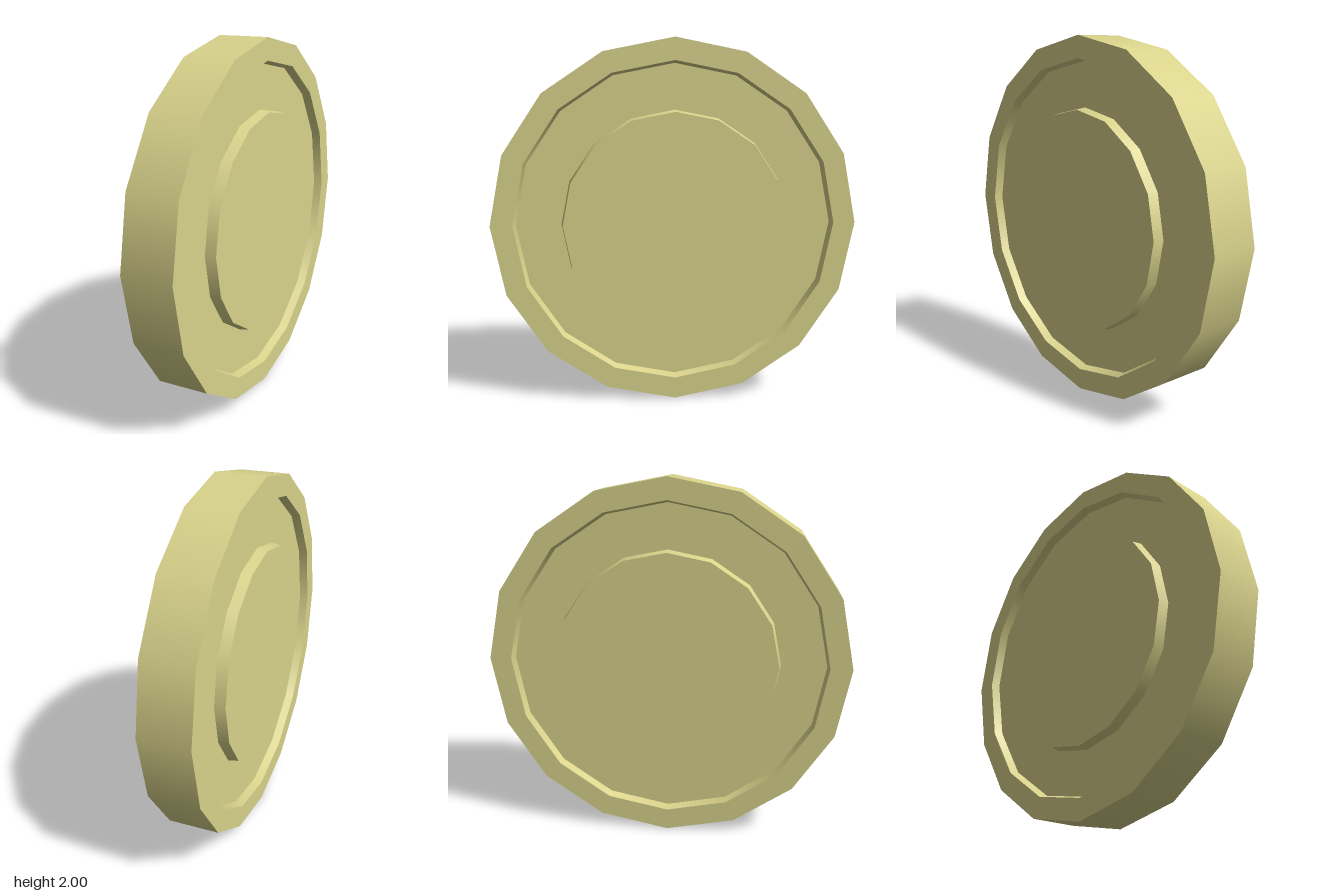
import * as THREE from 'three';

const SIDES = 16;
const material = new THREE.MeshStandardMaterial({ color: 0xd9d38b });

// Each profile span becomes its own lathe: smooth around, crisp between spans.
function turned(name, profile) {
  const part = new THREE.Group();
  part.name = name;
  for (let i = 0; i < profile.length - 1; i++) {
    const span = [profile[i], profile[i + 1]].map(([r, h]) => new THREE.Vector2(r, h));
    const mesh = new THREE.Mesh(new THREE.LatheGeometry(span, SIDES), material);
    mesh.name = `${name}Surface${i + 1}`;
    part.add(mesh);
  }
  return part;
}

export function createModel() {
  const wheel = new THREE.Group();
  wheel.name = 'wheel';

  // Outer tread, split at the middle
  wheel.add(turned('tread', [[1, -0.14], [1, 0], [1, 0.14]]));

  // Both faces: rim, recessed ring and raised hub
  for (const [side, turn] of [['left', 0], ['right', Math.PI]]) {
    const face = new THREE.Group();
    face.name = `${side}Face`;
    face.add(turned('rim', [[1, 0.14], [0.88, 0.14], [0.867, 0.093]]));
    face.add(turned('recess', [[0.867, 0.093], [0.62, 0.093]]));
    face.add(turned('hub', [[0.62, 0.093], [0.61, 0.15], [0, 0.15]]));
    face.rotation.x = turn;
    wheel.add(face);
  }

  // Lay the axle along x and stand the wheel on the ground
  wheel.rotation.z = -Math.PI / 2;
  wheel.position.y = 1;

  const model = new THREE.Group();
  model.name = 'wheelModel';
  model.add(wheel);
  return model;
}
